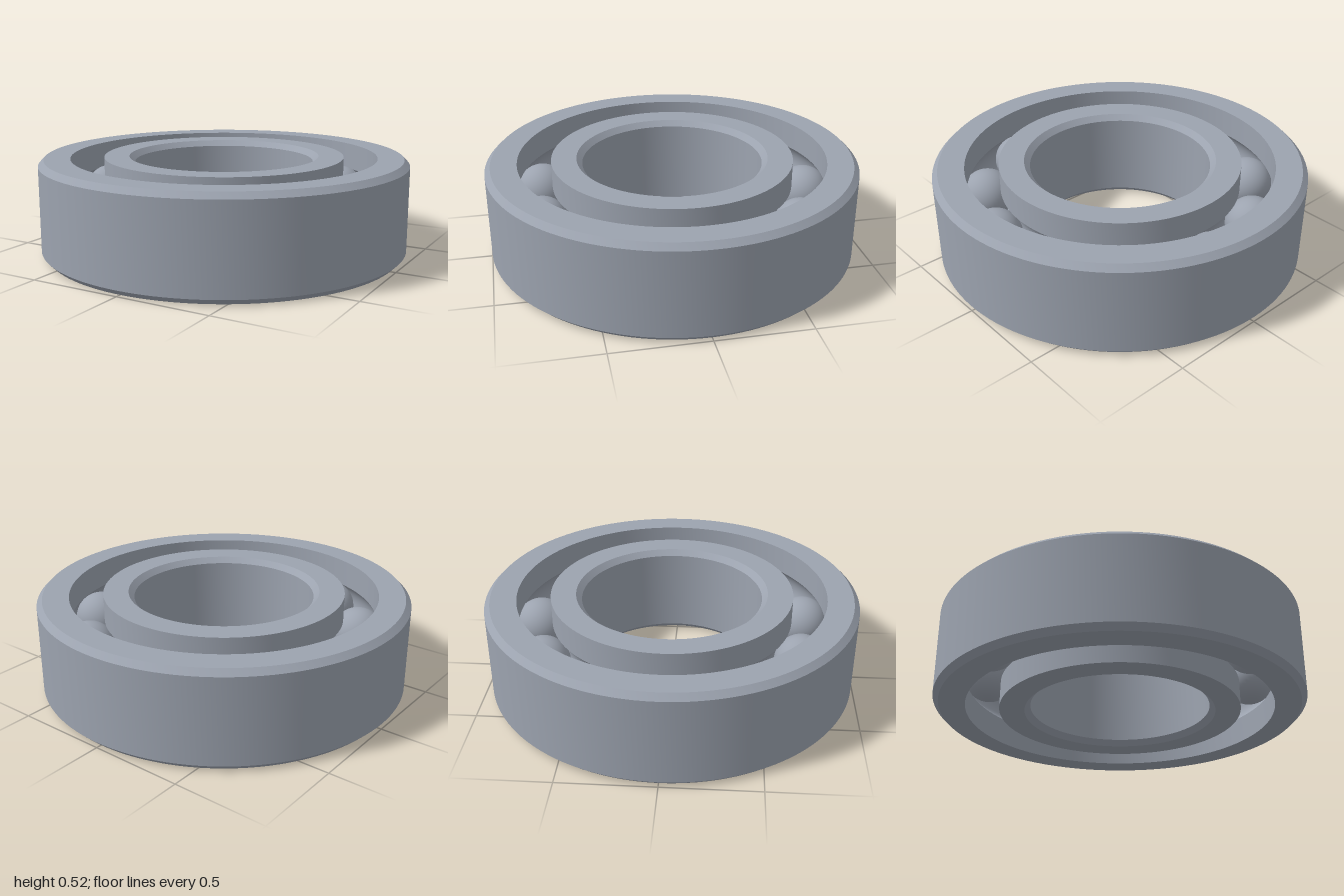
import * as THREE from 'three';
import { toCreasedNormals } from 'three/addons/utils/BufferGeometryUtils.js';

const HEIGHT = 0.52, MID = HEIGHT / 2, CHAMFER = 0.03;
const PITCH = 0.74, BALL_R = 0.142, GROOVE_R = 0.144, BALLS = 11;
const OUTER_R = 1, OUTER_BORE = 0.83, INNER_R = 0.65, INNER_BORE = 0.485;

// Arc of the ball groove, centred on the pitch circle
function groove(from, to, steps = 16) {
  return Array.from({ length: steps + 1 }, (_, i) => {
    const a = from + (to - from) * i / steps;
    return [PITCH + GROOVE_R * Math.cos(a), MID + GROOVE_R * Math.sin(a)];
  });
}

// Revolve a closed, counter-clockwise (radius, height) profile
function ring(name, profile, material) {
  const points = [...profile, profile[0]].map(([r, y]) => new THREE.Vector2(r, y));
  const geometry = toCreasedNormals(new THREE.LatheGeometry(points, 128), 0.5);
  const mesh = new THREE.Mesh(geometry, material);
  mesh.name = name;
  return mesh;
}

export function createModel() {
  const model = new THREE.Group();
  model.name = 'ballBearing';
  const steel = new THREE.MeshStandardMaterial({ color: 0x9ca3af });
  steel.name = 'steel grey';

  // Outer race: chamfered outside, groove inside
  const outerA = Math.acos((OUTER_BORE - PITCH) / GROOVE_R);
  model.add(ring('outerRace', [
    [OUTER_R - CHAMFER, 0], [OUTER_R, CHAMFER],
    [OUTER_R, HEIGHT - CHAMFER], [OUTER_R - CHAMFER, HEIGHT],
    [OUTER_BORE, HEIGHT], ...groove(outerA, -outerA), [OUTER_BORE, 0],
  ], steel));

  // Inner race: groove outside, chamfered bore
  const innerA = Math.acos((PITCH - INNER_R) / GROOVE_R);
  model.add(ring('innerRace', [
    [INNER_BORE + CHAMFER, 0], [INNER_R, 0],
    ...groove(Math.PI + innerA, Math.PI - innerA),
    [INNER_R, HEIGHT], [INNER_BORE + CHAMFER, HEIGHT],
    [INNER_BORE, HEIGHT - CHAMFER], [INNER_BORE, CHAMFER],
  ], steel));

  // Balls evenly spaced around the pitch circle
  const balls = new THREE.Group();
  balls.name = 'balls';
  const ballGeometry = new THREE.SphereGeometry(BALL_R, 40, 28);
  for (let i = 0; i < BALLS; i++) {
    const a = THREE.MathUtils.degToRad(12) + i * Math.PI * 2 / BALLS;
    const ball = new THREE.Mesh(ballGeometry, steel);
    ball.name = 'ball';
    ball.position.set(PITCH * Math.cos(a), MID, PITCH * Math.sin(a));
    balls.add(ball);
  }
  model.add(balls);
  return model;
}
